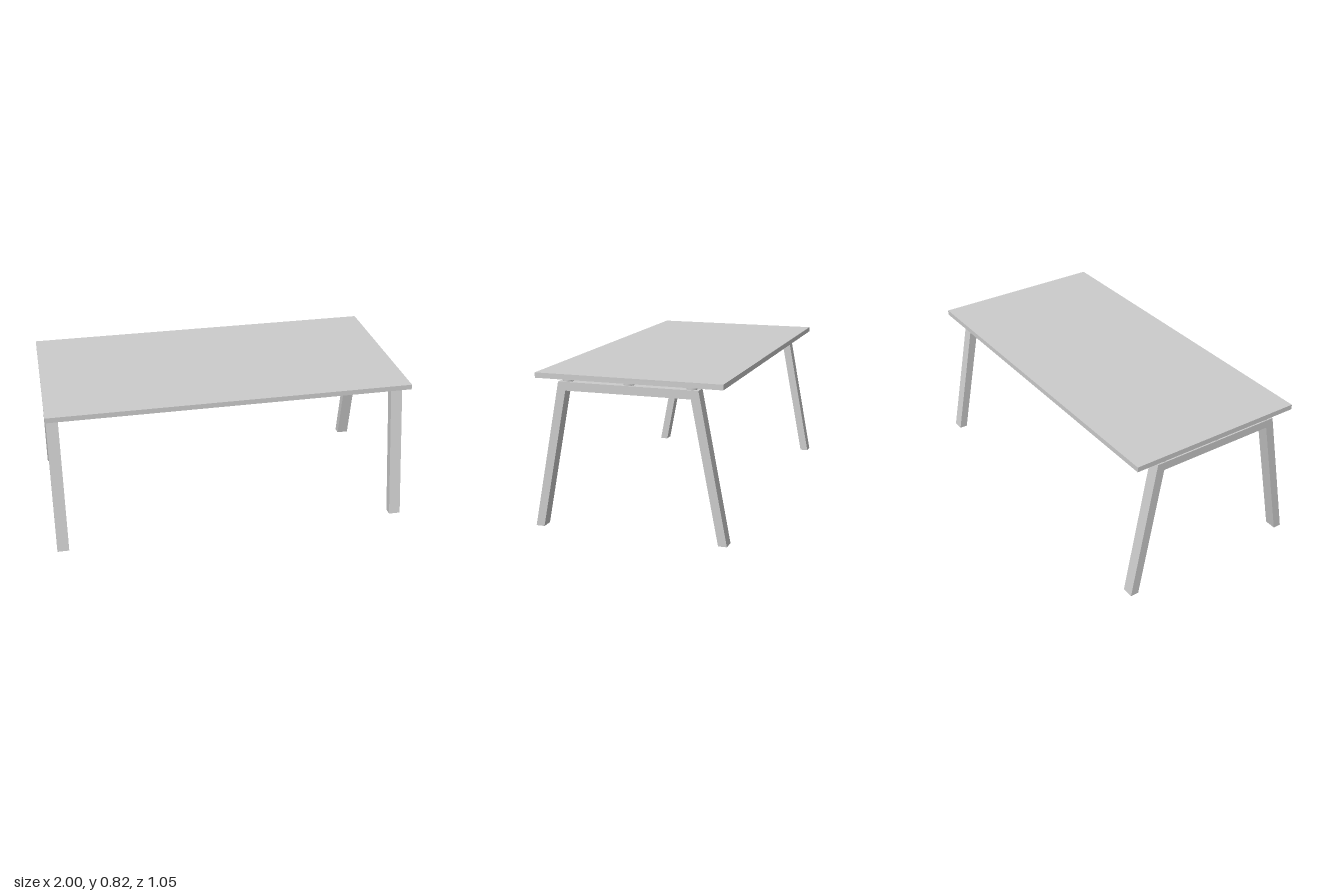
import * as THREE from 'three';

const material = new THREE.MeshStandardMaterial({ color: 0xcccccc });

function add(parent, name, geometry, x = 0, y = 0, z = 0) {
  const mesh = new THREE.Mesh(geometry, material);
  mesh.name = name;
  mesh.position.set(x, y, z);
  parent.add(mesh);
  return mesh;
}

export function createModel() {
  const table = new THREE.Group();
  table.name = 'table';

  const topBottom = 0.795, topHeight = 0.028;
  const frameTop = 0.783, railBottom = 0.738;
  const frameX = 0.9625, frameWidth = 0.065;

  // Table top
  add(table, 'tableTop', new THREE.BoxGeometry(2, topHeight, 1), 0, topBottom + topHeight / 2, 0);

  // Splayed end frame: two legs and a cross rail in one outline
  const outline = new THREE.Shape([
    [0.523, 0], [0.373, frameTop], [-0.373, frameTop], [-0.523, 0],
    [-0.477, 0], [-0.334, railBottom], [0.334, railBottom], [0.477, 0],
  ].map(([z, y]) => new THREE.Vector2(z, y)));
  const frame = new THREE.ExtrudeGeometry(outline, { depth: frameWidth, bevelEnabled: false });
  frame.translate(0, 0, -frameWidth / 2).rotateY(Math.PI / 2);

  // Round spacers holding the top off the frame
  const spacerHeight = topBottom - frameTop;
  const spacer = new THREE.CylinderGeometry(0.027, 0.027, spacerHeight, 24);
  const addSpacer = (x, z) => add(table, 'spacer', spacer, x, frameTop + spacerHeight / 2, z);

  for (const side of [-1, 1]) {
    add(table, side > 0 ? 'leftLegFrame' : 'rightLegFrame', frame, side * frameX, 0, 0);
    for (const z of [-0.33, 0, 0.33]) addSpacer(side * frameX, z);
    addSpacer(side * 0.467, 0);
  }

  // Long centre beam joining the end frames
  const beamLength = 2 * frameX - frameWidth;
  add(table, 'centreBeam', new THREE.BoxGeometry(beamLength, frameTop - railBottom, 0.065),
    0, (frameTop + railBottom) / 2, 0);

  return table;
}
